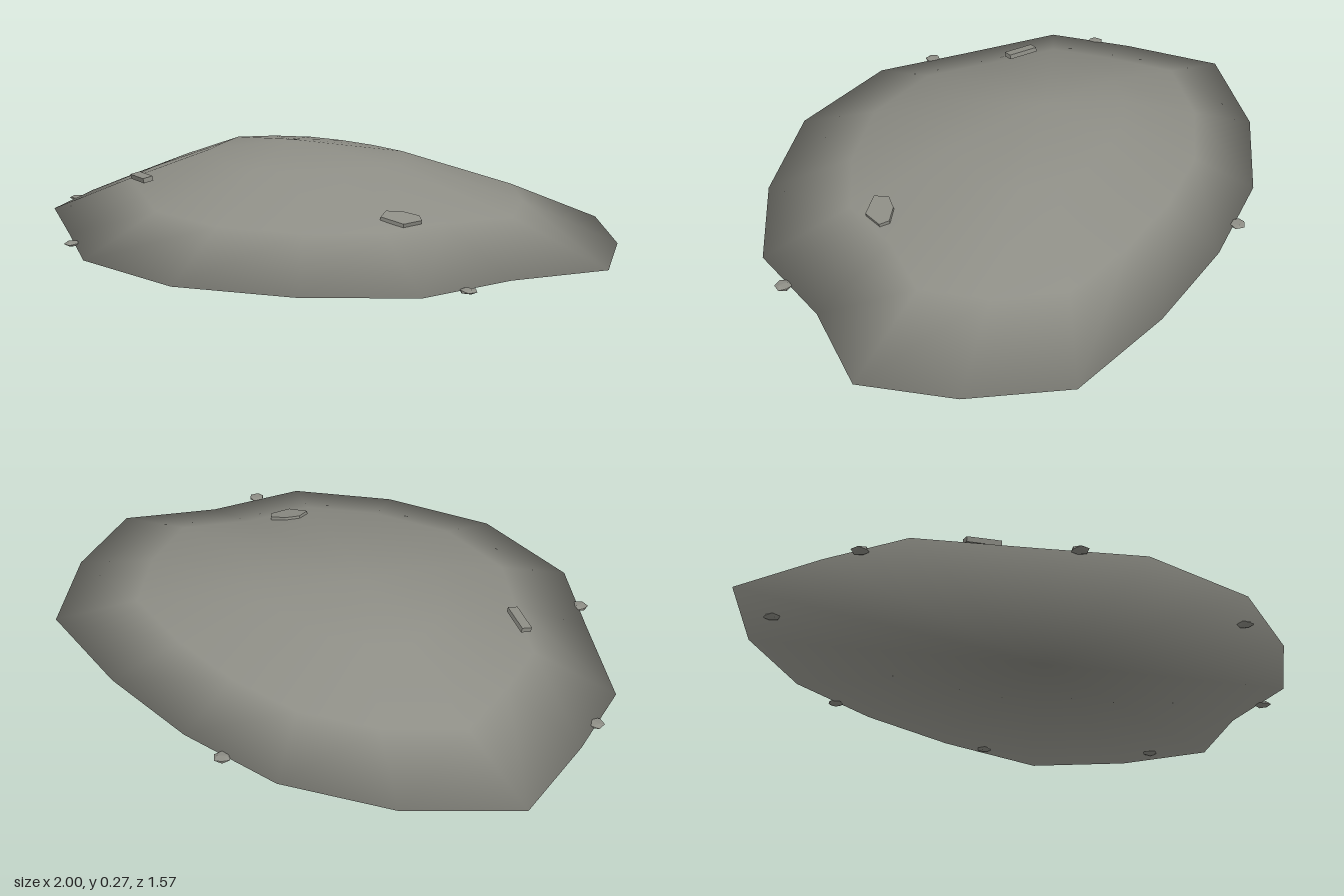
import * as THREE from 'three';

// Ground outline of the mound as [x, z], running from +x towards +z
const OUTLINE = [
  [1, -0.04], [0.8, 0.21], [0.66, 0.5], [0.36, 0.68], [-0.01, 0.78], [-0.4, 0.7], [-0.63, 0.49], [-0.9, 0.25],
  [-0.96, -0.03], [-1, -0.36], [-0.72, -0.6], [-0.38, -0.74], [-0.02, -0.76], [0.34, -0.72], [0.72, -0.62], [0.91, -0.34],
];

// Rings of the mound: outline scale, offset and height
const RINGS = [
  { s: 1, x: 0, z: 0, y: 0.006 },
  { s: 0.7, x: -0.03, z: -0.04, y: 0.118 },
  { s: 0.35, x: -0.09, z: -0.07, y: 0.228 },
];

// Smooth normals, each face weighted by its corner angle
function angleWeightedNormals(geo) {
  const pos = geo.attributes.position, idx = geo.index.array;
  const sums = Array.from({ length: pos.count }, () => new THREE.Vector3());
  for (let i = 0; i < idx.length; i += 3) {
    const ids = [idx[i], idx[i + 1], idx[i + 2]];
    const p = ids.map((k) => new THREE.Vector3().fromBufferAttribute(pos, k));
    const n = p[1].clone().sub(p[0]).cross(p[2].clone().sub(p[0])).normalize();
    ids.forEach((k, c) => {
      const u = p[(c + 1) % 3].clone().sub(p[c]);
      const v = p[(c + 2) % 3].clone().sub(p[c]);
      sums[k].addScaledVector(n, u.angleTo(v));
    });
  }
  const normals = sums.flatMap((n) => n.normalize().toArray());
  geo.setAttribute('normal', new THREE.Float32BufferAttribute(normals, 3));
}

// Closed low dome: three rings, a peak and a flat underside
function moundGeometry() {
  const n = OUTLINE.length, verts = [], faces = [];
  for (const r of RINGS) {
    for (const [x, z] of OUTLINE) verts.push(x * r.s + r.x, r.y, z * r.s + r.z);
  }
  const peak = RINGS.length * n, base = peak + 1;
  verts.push(-0.15, 0.272, -0.08, 0, 0.006, 0);
  for (let i = 0; i < n; i++) {
    const j = (i + 1) % n;
    for (let r = 0; r < RINGS.length - 1; r++) {
      const a = r * n + i, b = r * n + j;
      faces.push(b, a, a + n, b, a + n, b + n);
    }
    const top = (RINGS.length - 1) * n;
    faces.push(top + j, top + i, peak);
    faces.push(i, j, base);
  }
  const geo = new THREE.BufferGeometry();
  geo.setAttribute('position', new THREE.Float32BufferAttribute(verts, 3));
  geo.setIndex(faces);
  angleWeightedNormals(geo);
  return geo;
}

export function createModel() {
  const model = new THREE.Group();
  model.name = 'stoneMound';
  const stone = new THREE.MeshStandardMaterial({ color: 0x8e8e86 });
  stone.name = 'greyStone';

  const add = (name, geo, x, y, z) => {
    const mesh = new THREE.Mesh(geo, stone);
    mesh.name = name;
    mesh.position.set(x, y, z);
    model.add(mesh);
    return mesh;
  };

  add('mound', moundGeometry(), 0, 0, 0);

  // Small flat pebbles around the foot
  const pebble = new THREE.IcosahedronGeometry(0.028, 0);
  const spots = [
    [-0.93, 0.09], [-0.55, 0.57], [0.74, 0.37], [-0.18, -0.76],
    [0.88, -0.2], [0.47, -0.65], [-0.79, -0.42], [0.15, 0.67],
  ];
  spots.forEach(([x, z], i) => {
    const mesh = add('pebble', pebble, x, 0.007, z);
    mesh.scale.y = 0.28;
    mesh.rotation.y = i * 1.3;
  });

  // Narrow stone chip on the right slope
  const chip = add('narrowChip', new THREE.BoxGeometry(0.11, 0.016, 0.034), -0.55, 0.15, 0.21);
  chip.rotation.set(0.2, -0.5, 0.16);

  // Broad stone flake on the left slope
  const outline = [[-0.05, -0.05], [-0.06, 0], [-0.025, 0.035], [0.03, 0.05], [0.052, 0.025], [0.025, -0.04]];
  const shape = new THREE.Shape(outline.map(([x, y]) => new THREE.Vector2(x, y)));
  const flakeGeo = new THREE.ExtrudeGeometry(shape, { depth: 0.012, bevelEnabled: false });
  flakeGeo.rotateX(-Math.PI / 2);
  const flake = add('broadFlake', flakeGeo, 0.43, 0.133, 0.2);
  flake.rotation.set(0.1, 0, -0.22);

  return model;
}
